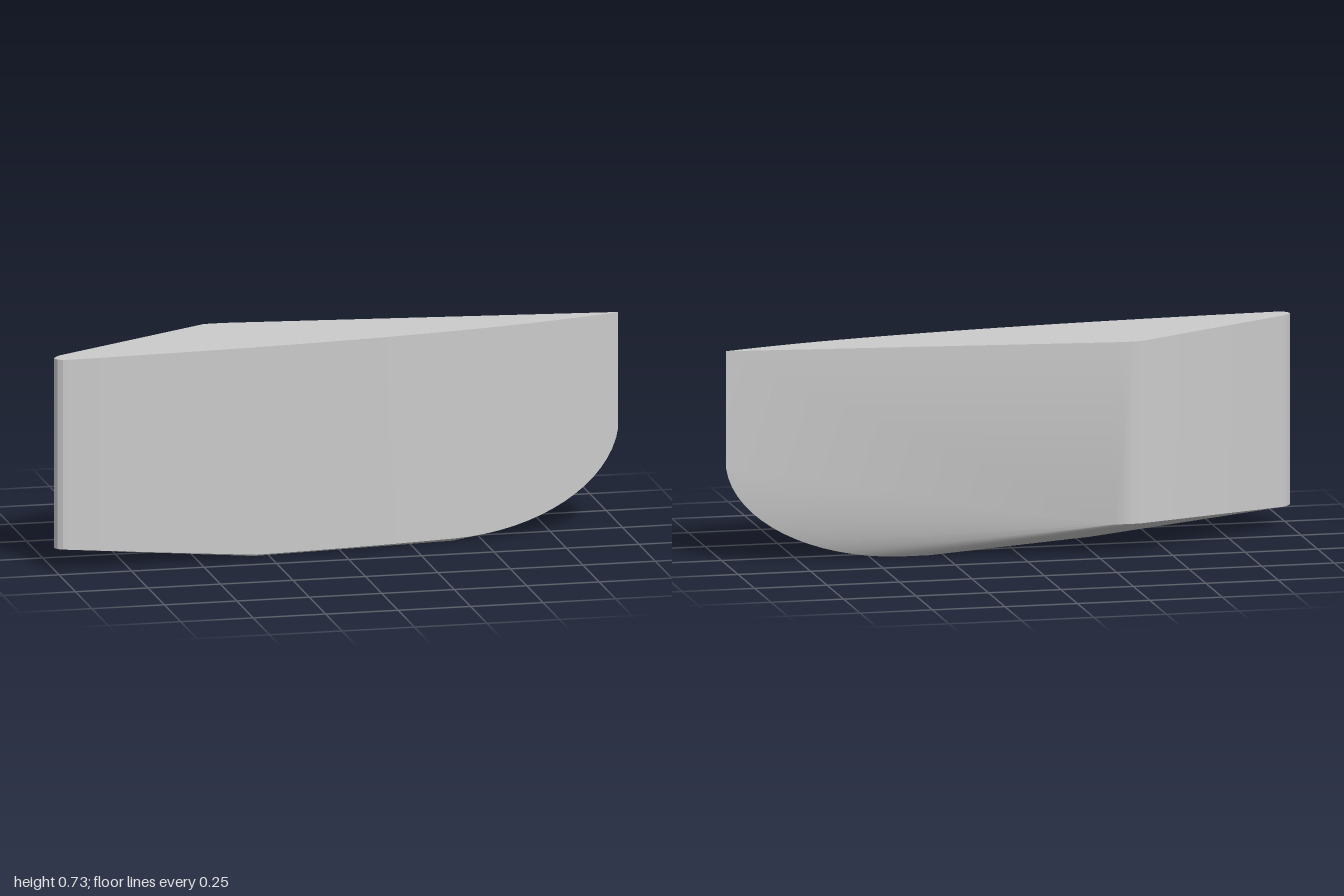
import * as THREE from 'three';
import { ConvexGeometry } from 'three/addons/geometries/ConvexGeometry.js';
import { toCreasedNormals } from 'three/addons/utils/BufferGeometryUtils.js';

const TOP = 0.73;
const KEEL_Z = -0.066;

// Depth of the gently bowed front wall at a given x
function frontZ(x) {
  const t = (2.72 - Math.sqrt(Math.max(0, 7.3984 - 3 * (x + 0.97)))) / 1.5;
  return 0.2 * (1 - t) ** 2 + 0.304 * t * (1 - t) - 0.066 * t * t;
}

export function createModel() {
  const points = [];
  const add = (x, y, z) => points.push(new THREE.Vector3(x, y, z));
  const column = (x, bottom, z) => { add(x, TOP, z); add(x, bottom, z); };

  // Rounded left end
  for (const [x, z] of [[-0.97, 0.13], [-0.988, 0.148], [-1, 0.168], [-0.992, 0.187], [-0.975, 0.199]]) {
    column(x, 0.074, z);
  }

  // Rear corner, slightly blunted
  for (const [x, z] of [[-0.4, -0.203], [-0.37, -0.205], [-0.31, -0.203]]) column(x, 0.105, z);

  // Bowed front wall: tapering underside, then a flat run
  for (let i = 0; i <= 6; i++) {
    const x = -0.96 + 0.66 * i / 6;
    column(x, 0.073 - 0.061 * i / 6, frontZ(x));
  }
  for (let i = 1; i < 7; i++) {
    const x = -0.3 + 0.1 * i;
    column(x, 0.012, frontZ(x));
  }

  // Flat bottom
  add(-0.3, 0, 0.13);
  add(0.4, 0, 0.06);
  add(0.3, 0, KEEL_Z);

  // Upswept nose: front edge and keel follow the same curve
  const sweep = new THREE.CubicBezierCurve(
    new THREE.Vector2(0.4, 0), new THREE.Vector2(0.7, 0.005),
    new THREE.Vector2(0.97, 0.14), new THREE.Vector2(1, 0.33));
  for (const { x, y } of sweep.getPoints(16)) {
    if (x < 0.999) {
      column(x, y + 0.02 * (1 - x), frontZ(x));
      add(x, y, KEEL_Z);
    }
  }
  column(1, 0.33, KEEL_Z);

  const body = new THREE.Mesh(
    toCreasedNormals(new ConvexGeometry(points), 0.5),
    new THREE.MeshStandardMaterial({ color: 0xcccccc }));
  body.name = 'hullBody';

  const group = new THREE.Group();
  group.name = 'hull';
  group.add(body);
  return group;
}
